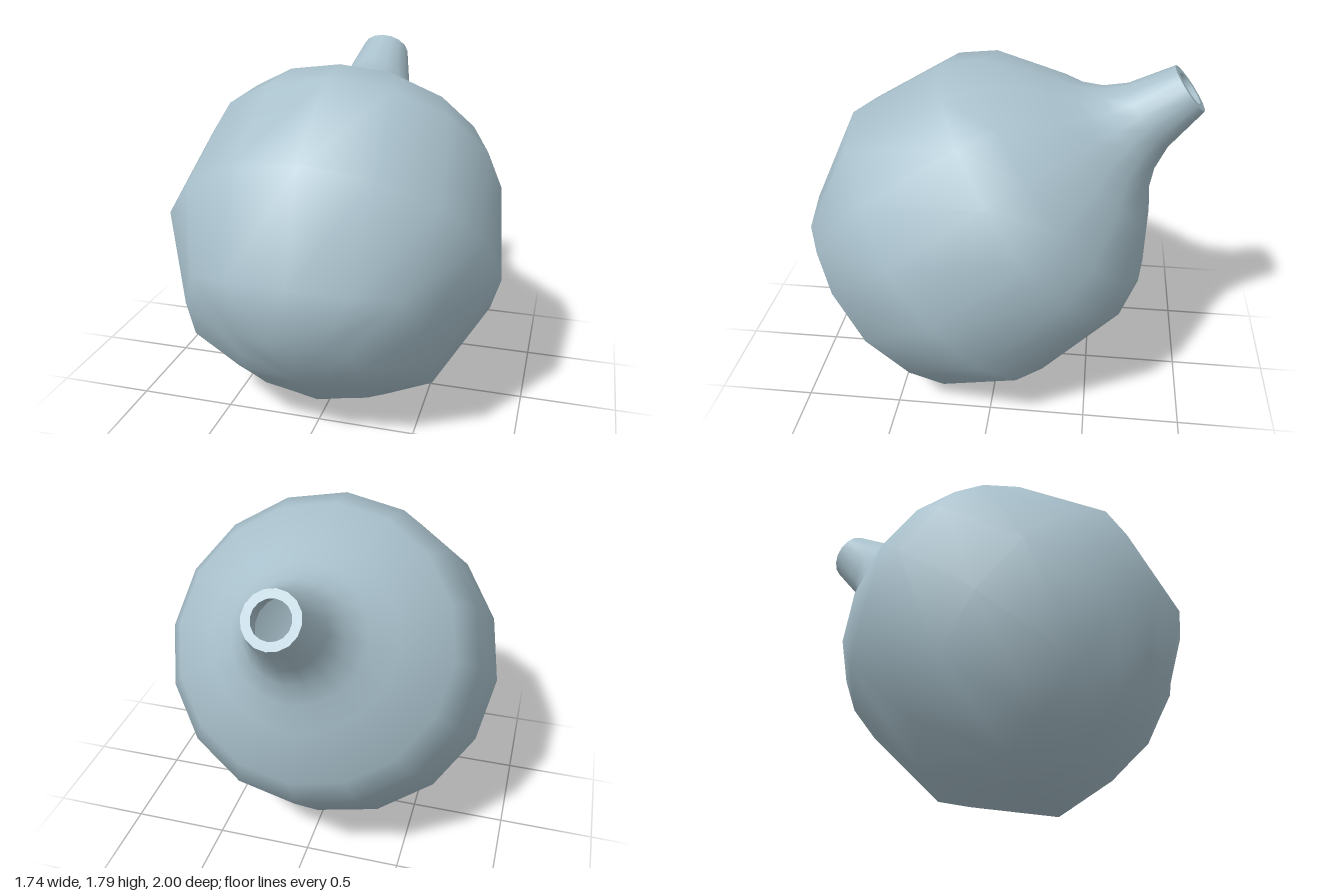
import * as THREE from 'three';

const SIDES = 16;

// Ring of 16 points mirrored from one eighth: middle, in-between and corner points as [x, z, height]
function ring(mid, between, corner) {
  const points = [];
  for (let k = 0; k < SIDES; k++) {
    const [px, pz, y] = [mid, between, corner, [between[1], between[0], between[2]]][k % 4];
    let x = px, z = pz;
    for (let q = 0; q < Math.floor(k / 4); q++) [x, z] = [z, -x];
    points.push(new THREE.Vector3(x, y, z));
  }
  return points;
}

function roundRing(y, r) {
  const at = (angle) => [r * Math.sin(angle), r * Math.cos(angle), y];
  return ring(at(0), at(Math.PI / 8), at(Math.PI / 4));
}

// Skin over stacked rings, with an optional pole closing the first ring
function skin(rings, poleY = null, inward = false) {
  const positions = rings.flat().flatMap((p) => [p.x, p.y, p.z]);
  const index = [];
  const tri = (a, b, c) => (inward ? index.push(a, c, b) : index.push(a, b, c));
  for (let j = 0; j < rings.length - 1; j++) {
    for (let k = 0; k < SIDES; k++) {
      const n = (k + 1) % SIDES, lo = j * SIDES, hi = lo + SIDES;
      tri(lo + k, lo + n, hi + n);
      tri(lo + k, hi + n, hi + k);
    }
  }
  if (poleY !== null) {
    const pole = positions.length / 3;
    positions.push(0, poleY, 0);
    for (let k = 0; k < SIDES; k++) tri(pole, (k + 1) % SIDES, k);
  }
  const geometry = new THREE.BufferGeometry();
  geometry.setAttribute('position', new THREE.Float32BufferAttribute(positions, 3));
  geometry.setIndex(index);
  geometry.computeVertexNormals();
  return geometry;
}

export function createModel() {
  const glaze = new THREE.MeshStandardMaterial({ color: 0xa9c1cc });
  glaze.name = 'pale blue grey';
  const model = new THREE.Group();
  model.name = 'roundFlask';

  // Squarish bottom cap, round belly, then shoulder and neck as [height, radius]
  const cap = [
    ring([0, 0.335, -0.817], [0.135, 0.3, -0.803], [0.27, 0.27, -0.79]),
    ring([0, 0.613, -0.68], [0.3, 0.575, -0.65], [0.5, 0.5, -0.597]),
  ];
  const profile = [
    [-0.18, 0.87], [0.363, 0.802], [0.548, 0.695], [0.746, 0.451],
    [0.83, 0.328], [0.923, 0.243], [1.036, 0.186], [1.276, 0.132],
  ];
  const wall = 0.042;
  const outer = [...cap, ...profile.map(([y, r]) => roundRing(y, r))];
  const inner = [
    ...cap.map((points) => points.map((p) => p.clone().multiplyScalar(0.953))),
    ...profile.map(([y, r]) => roundRing(y > 0.3 && y < 0.8 ? y - 0.025 : y, r - wall)),
  ];

  const flask = new THREE.Group();
  flask.name = 'tiltedFlask';
  const add = (name, geometry) => {
    const mesh = new THREE.Mesh(geometry, glaze);
    mesh.name = name;
    flask.add(mesh);
  };
  add('bodyAndNeck', skin(outer, -0.86));
  add('innerWall', skin(inner, -0.82, true));
  add('rim', skin([outer.at(-1), inner.at(-1)]));

  // Lean the neck up and backwards
  flask.rotation.x = -Math.atan2(0.789, 0.614);
  flask.position.set(0, 0.902, 0.087);
  model.add(flask);
  return model;
}
